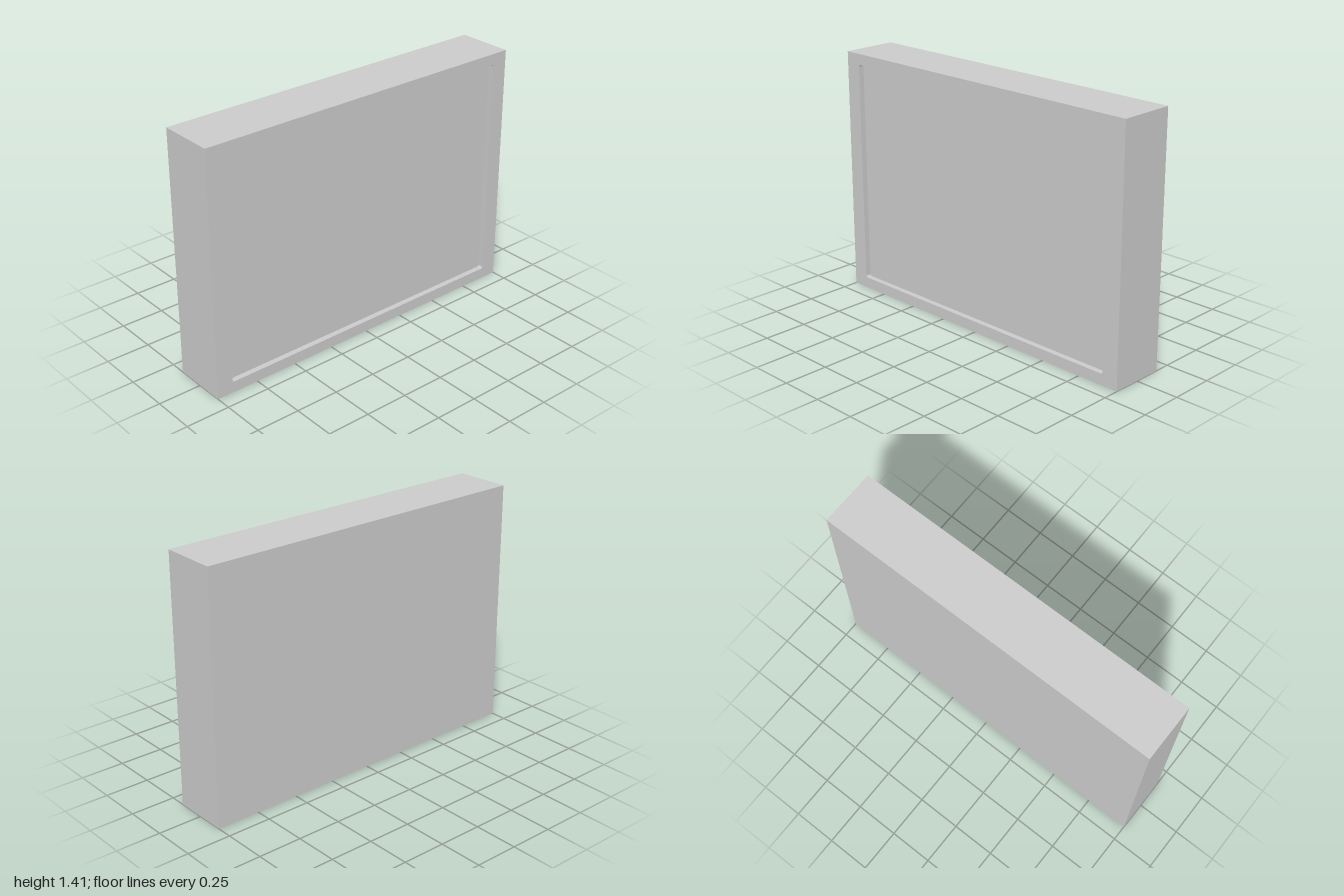
import * as THREE from 'three';

const W = 2, H = 1.406, D = 0.32;   // overall size
const RECESS = 0.032;               // depth of the screen behind the bezel
const OPEN_W = 1.812, OPEN_H = 1.28, RADIUS = 0.012;

// Rectangle centred on the origin, with rounded corners when r > 0
function rectangle(PathType, w, h, r = 0) {
  const x = w / 2, y = h / 2, p = new PathType();
  if (r === 0) {
    return p.moveTo(-x, -y).lineTo(x, -y).lineTo(x, y).lineTo(-x, y).closePath();
  }
  p.absarc(x - r, y - r, r, 0, Math.PI / 2);
  p.absarc(-x + r, y - r, r, Math.PI / 2, Math.PI);
  p.absarc(-x + r, -y + r, r, Math.PI, Math.PI * 1.5);
  p.absarc(x - r, -y + r, r, Math.PI * 1.5, Math.PI * 2);
  return p.closePath();
}

export function createModel() {
  const model = new THREE.Group();
  model.name = 'framedPanel';
  const grey = new THREE.MeshStandardMaterial({ color: 0xcccccc });

  const add = (name, geometry, z) => {
    const mesh = new THREE.Mesh(geometry, grey);
    mesh.name = name;
    mesh.position.set(0, H / 2, z);
    model.add(mesh);
  };

  // Solid housing; its front face is the recessed screen
  add('housing', new THREE.BoxGeometry(W, H, D - RECESS), -RECESS / 2);

  // Bezel around the screen opening
  const outline = new THREE.Shape();
  outline.copy(rectangle(THREE.Shape, W, H));
  outline.holes.push(rectangle(THREE.Path, OPEN_W, OPEN_H, RADIUS));
  const bezel = new THREE.ExtrudeGeometry(outline, {
    depth: RECESS, bevelEnabled: false, curveSegments: 6,
  });
  add('bezel', bezel, D / 2 - RECESS);

  return model;
}
